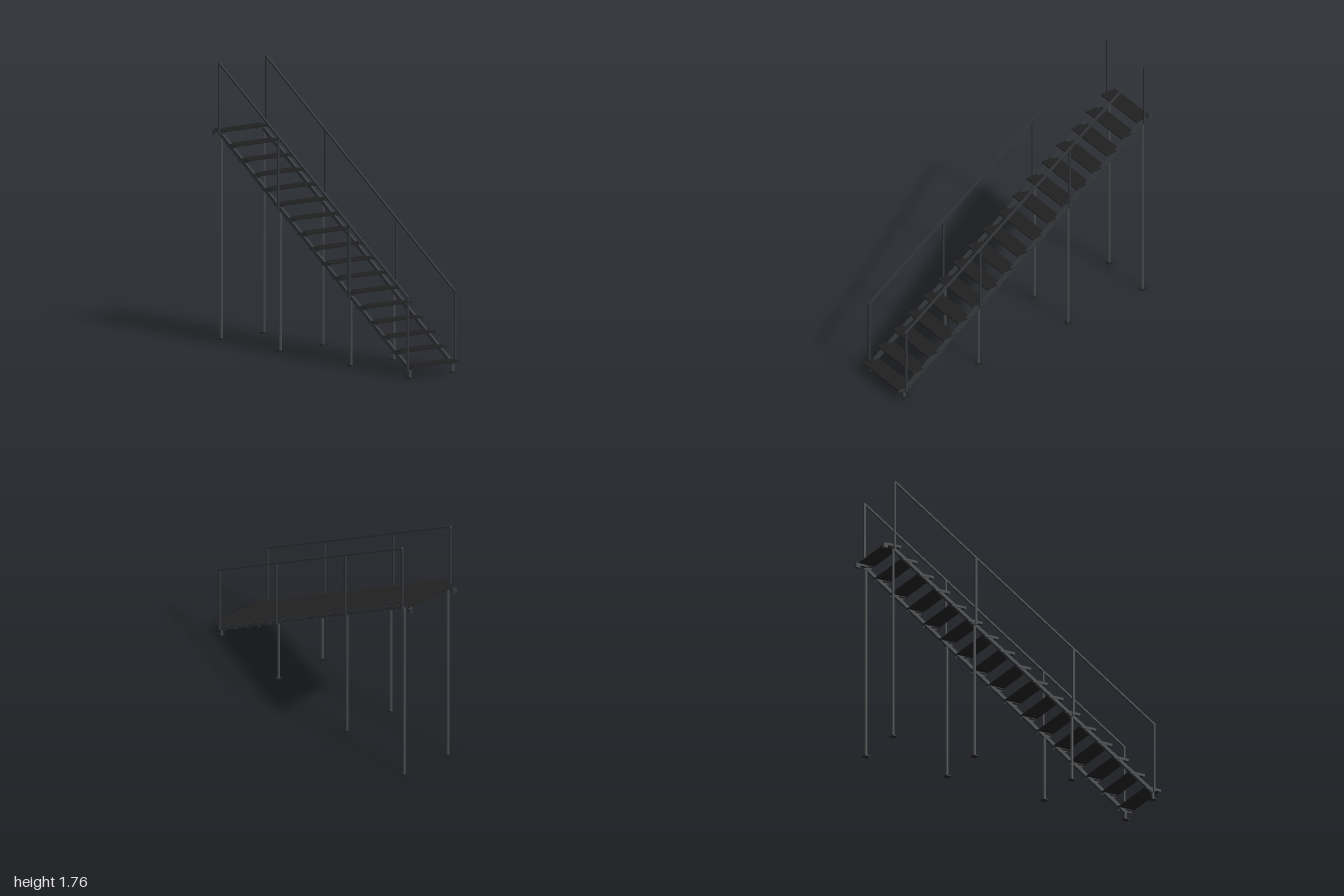
import * as THREE from 'three';

export function createModel() {
  const model = new THREE.Group();
  model.name = 'metalStaircase';

  const mat = (name, color) => {
    const m = new THREE.MeshStandardMaterial({ color });
    m.name = name;
    return m;
  };
  const steel = mat('darkSteel', 0x33363a);
  const treadBlack = mat('treadBlack', 0x202020);
  const legGrey = mat('legGrey', 0x44474a);

  const add = (parent, name, geometry, material, x, y, z) => {
    const mesh = new THREE.Mesh(geometry, material);
    mesh.name = name;
    mesh.position.set(x, y, z);
    parent.add(mesh);
    return mesh;
  };
  const box = (parent, name, w, h, d, material, x, y, z) =>
    add(parent, name, new THREE.BoxGeometry(w, h, d), material, x, y, z);

  // Square bar running up the flight between two points in a vertical plane
  const slopedBar = (parent, name, w, h, x, [z0, y0], [z1, y1]) => {
    const length = Math.hypot(z1 - z0, y1 - y0);
    const bar = box(parent, name, w, h, length, steel, x, (y0 + y1) / 2, (z0 + z1) / 2);
    bar.rotation.x = Math.atan2(y1 - y0, z0 - z1);
  };

  const steps = 17;
  const zFront = 0.945, zBack = -0.925;
  const stringerX = 0.172, railX = 0.19;
  const along = (z) => (zFront - z) / (zFront - zBack);
  const stringerY = (z) => 0.052 + along(z) * 1.245;
  const railY = (z) => 0.508 + along(z) * 1.245;

  // Treads with side angle brackets and bolt heads
  for (let i = 0; i < steps; i++) {
    const z = zFront + (zBack - zFront) * i / (steps - 1);
    const y = 0.077 + 1.245 * i / (steps - 1);
    const step = new THREE.Group();
    step.name = 'step' + (i + 1);
    model.add(step);
    box(step, 'tread', 0.364, 0.007, 0.11, treadBlack, 0, y, z);
    for (const s of [-1, 1]) {
      box(step, 'bracketWeb', 0.005, 0.015, 0.1, steel, s * 0.183, y - 0.008, z);
      box(step, 'bracketFlange', 0.022, 0.004, 0.1, steel, s * 0.172, y - 0.0052, z);
      for (const dz of [-0.035, 0.035]) {
        add(step, 'bolt', new THREE.CylinderGeometry(0.003, 0.003, 0.003, 6), steel,
          s * stringerX, y + 0.004, z + dz);
      }
    }
  }

  const stations = [zFront, 0.362, -0.34, zBack];
  for (const s of [-1, 1]) {
    const side = new THREE.Group();
    side.name = s > 0 ? 'leftFrame' : 'rightFrame';
    model.add(side);

    // Stringer and handrail
    slopedBar(side, 'stringer', 0.02, 0.022, s * stringerX,
      [zFront, stringerY(zFront)], [zBack, stringerY(zBack)]);
    slopedBar(side, 'handrail', 0.012, 0.012, s * railX,
      [zFront + 0.004, railY(zFront)], [zBack - 0.004, railY(zBack)]);

    // Rail posts, support legs and foot plates
    for (const z of stations) {
      const bottom = stringerY(z) - 0.004, top = railY(z);
      box(side, 'railPost', 0.012, top - bottom, 0.012, steel, s * railX, (top + bottom) / 2, z);
      const legTop = stringerY(z);
      add(side, 'leg', new THREE.CylinderGeometry(0.009, 0.009, legTop, 16), legGrey,
        s * stringerX, legTop / 2, z);
      box(side, 'footPlate', 0.036, 0.006, 0.036, treadBlack, s * stringerX, 0.003, z);
    }

    // Landing hook behind the top step
    box(side, 'hookArm', 0.022, 0.01, 0.07, steel, s * stringerX, 1.311, -0.955);
    box(side, 'hookBlock', 0.026, 0.03, 0.028, steel, s * stringerX, 1.303, -0.985);
  }

  return model;
}
